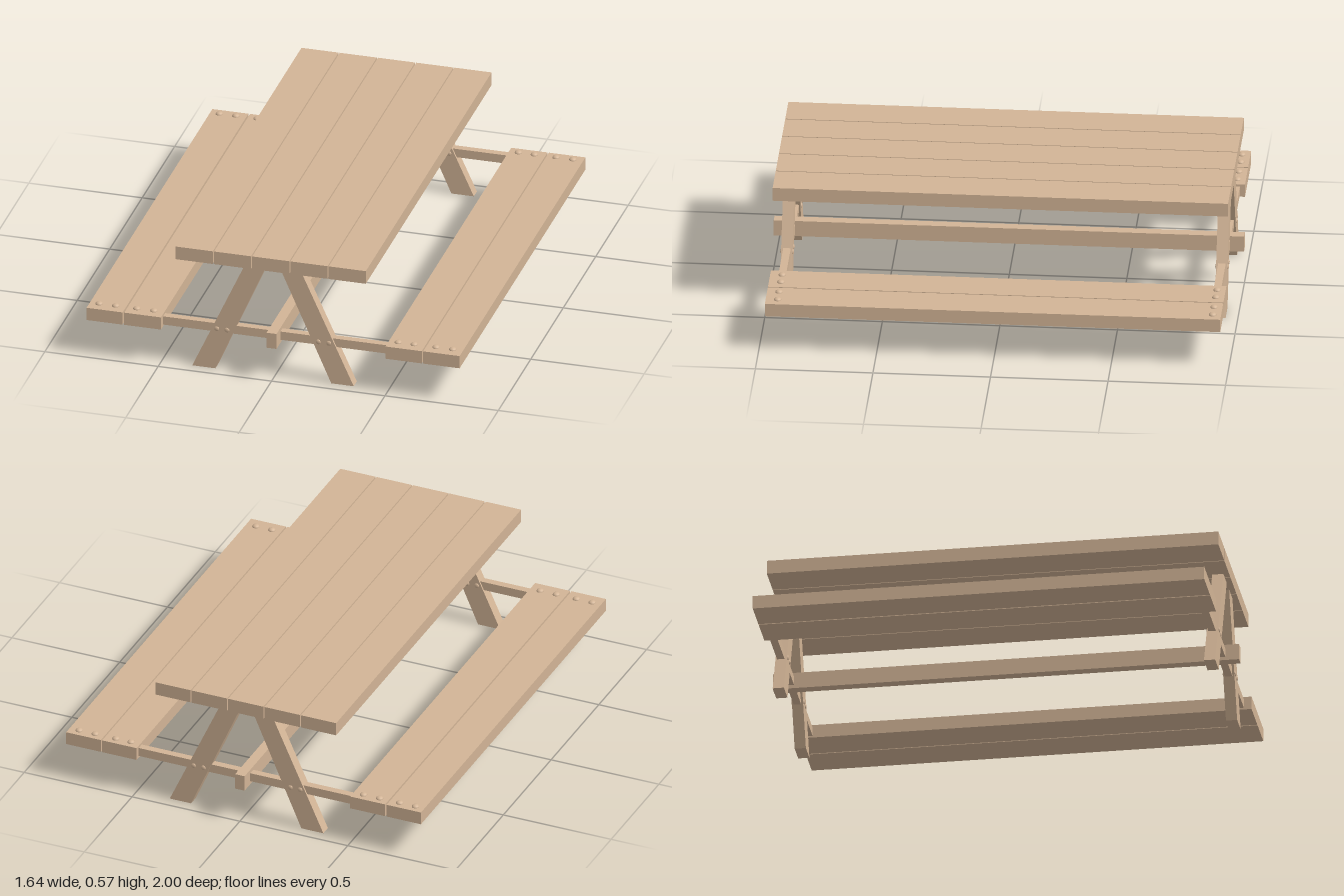
import * as THREE from 'three';

export function createModel() {
  const model = new THREE.Group();
  model.name = 'picnicTable';
  const wood = new THREE.MeshStandardMaterial({ color: 0xd2b496 });
  wood.name = 'tan wood';

  const add = (name, geometry) => {
    const mesh = new THREE.Mesh(geometry, wood);
    mesh.name = name;
    model.add(mesh);
    return mesh;
  };
  // Box given by its limits on each axis
  const box = (name, x0, x1, y0, y1, z0, z1) =>
    add(name, new THREE.BoxGeometry(x1 - x0, y1 - y0, z1 - z0))
      .position.set((x0 + x1) / 2, (y0 + y1) / 2, (z0 + z1) / 2);

  const backEnd = -0.963, frontEnd = 0.974;

  // Five tabletop planks with narrow gaps
  const pitch = 0.1687;
  for (let i = 0; i < 5; i++) {
    const x = -0.43 + i * pitch;
    box('tabletopPlank', x, x + 0.1635, 0.507, 0.567, backEnd, frontEnd);
  }

  // Two planks for each bench
  for (const [x0, x1] of [[-0.823, -0.664], [-0.657, -0.495], [0.495, 0.655], [0.661, 0.822]]) {
    box('benchPlank', x0, x1, 0.163, 0.221, backEnd, frontEnd);
  }

  // Long stretcher along the middle
  box('centreBeam', -0.022, 0.022, 0.156, 0.227, -1, 1);

  // Domed bolt head: a flattened half sphere whose dome points along +y
  const boltHead = (radius, height) =>
    new THREE.SphereGeometry(radius, 14, 6, 0, Math.PI * 2, 0, Math.PI / 2)
      .scale(1, height / radius, 1);
  const benchBolt = boltHead(0.016, 0.011);
  const legBolt = boltHead(0.011, 0.005);

  // Slanted legs, cut level at floor and tabletop
  const legOutlines = [
    [[-0.364, 0], [-0.262, 0], [-0.042, 0.507], [-0.133, 0.507]],
    [[0.249, 0], [0.348, 0], [0.118, 0.507], [0.027, 0.507]],
  ];
  const legThickness = 0.048;
  const legGeometries = legOutlines.map((points) => {
    const shape = new THREE.Shape(points.map(([x, y]) => new THREE.Vector2(x, y)));
    return new THREE.ExtrudeGeometry(shape, { depth: legThickness, bevelEnabled: false })
      .translate(0, 0, -legThickness / 2);
  });

  // Leg frame, cross beam and bolts at each end
  for (const z of [0.926, -0.924]) {
    for (const geometry of legGeometries) add('leg', geometry).position.z = z;
    box('crossBeam', -0.6, 0.6, 0.171, 0.21, z - 0.017, z + 0.015);

    for (const x of [-0.782, -0.709, -0.616, -0.541, 0.537, 0.607, 0.703, 0.777]) {
      add('benchBolt', benchBolt).position.set(x, 0.221, z - 0.003);
    }
    for (const x of [-0.256, -0.211, 0.192, 0.238]) {
      for (const side of [1, -1]) {
        const bolt = add('legBolt', legBolt);
        bolt.rotation.x = side * Math.PI / 2;
        bolt.position.set(x, 0.189, z + side * legThickness / 2);
      }
    }
  }
  return model;
}
